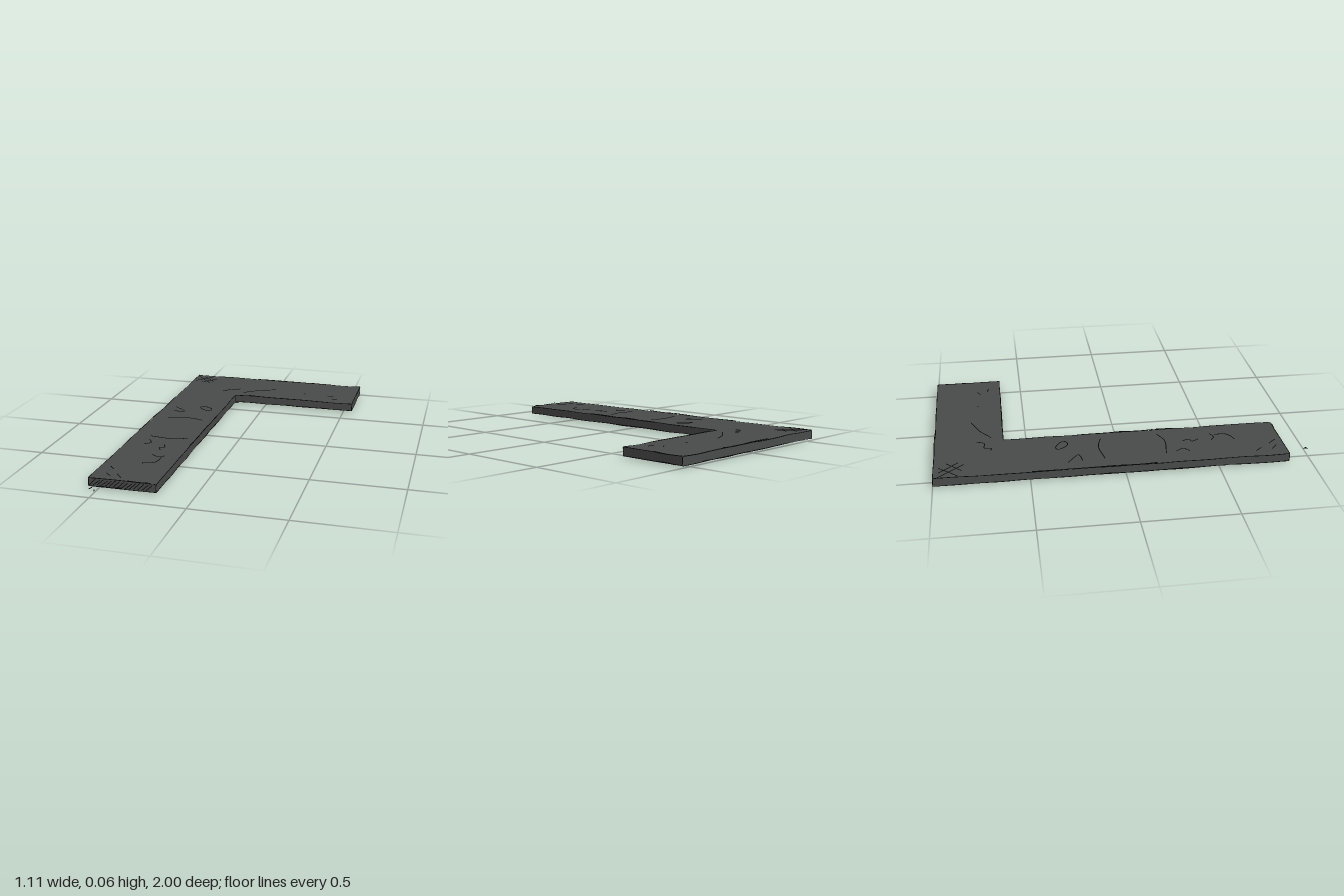
import * as THREE from 'three';
import { mergeGeometries } from 'three/addons/utils/BufferGeometryUtils.js';

const BOTTOM = 0.012, TOP = 0.055;
// Outline of the L in [x, z]
const OUTLINE = [[-0.553, -0.997], [0.552, -0.997], [0.552, -0.627], [-0.195, -0.627], [-0.195, 0.879], [-0.553, 0.879]];

// Small seeded generator for the hand-drawn wobble, in -1..1
function makeWobble(seed) {
  return () => {
    seed = (seed * 16807) % 2147483647;
    return (seed / 2147483647) * 2 - 1;
  };
}

// A thin pen stroke through a few points
function stroke(points, radius = 0.0024, closed = false) {
  const curve = new THREE.CatmullRomCurve3(points.map((p) => new THREE.Vector3(...p)), closed);
  return new THREE.TubeGeometry(curve, points.length * 4, radius, 4, closed);
}

// A nearly straight stroke with a slight wobble across its length
function roughLine(a, b, wobble, amount = 0.002) {
  const start = new THREE.Vector3(...a), end = new THREE.Vector3(...b);
  const n = Math.max(2, Math.ceil(start.distanceTo(end) / 0.12));
  const points = [];
  for (let i = 0; i <= n; i++) {
    const p = start.clone().lerp(end, i / n);
    points.push([p.x + wobble() * amount, p.y + wobble() * amount, p.z + wobble() * amount]);
  }
  return stroke(points, 0.0022);
}

export function createModel() {
  const group = new THREE.Group();
  const slabMaterial = new THREE.MeshStandardMaterial({ color: 0x4a4c4b });
  const inkMaterial = new THREE.MeshStandardMaterial({ color: 0x050505 });
  const wobble = makeWobble(41);

  const add = (name, geometry, material) => {
    const mesh = new THREE.Mesh(geometry, material);
    mesh.name = name;
    group.add(mesh);
  };

  // Flat L-shaped slab
  const shape = new THREE.Shape(OUTLINE.map(([x, z]) => new THREE.Vector2(x, -z)));
  const slab = new THREE.ExtrudeGeometry(shape, { depth: TOP - BOTTOM, bevelEnabled: false });
  slab.rotateX(-Math.PI / 2).translate(0, BOTTOM, 0);
  add('slab', slab, slabMaterial);

  // Sketched lines along every edge, with short overlapping second strokes
  const edges = [];
  OUTLINE.forEach(([x, z], i) => {
    const [nx, nz] = OUTLINE[(i + 1) % OUTLINE.length];
    for (const y of [BOTTOM, TOP]) {
      edges.push(roughLine([x, y, z], [nx, y, nz], wobble));
      const s = 0.3 + 0.25 * wobble(), e = s + 0.35;
      const at = (t) => [x + (nx - x) * t, y + 0.002, z + (nz - z) * t];
      edges.push(roughLine(at(s), at(e), wobble, 0.0025));
    }
    edges.push(roughLine([x, BOTTOM, z], [x, TOP, z], wobble, 0.001));
  });
  // Overshooting tail at the inner corner
  edges.push(stroke([[-0.17, 0.012, -0.627], [-0.195, 0.004, -0.622], [-0.215, 0.012, -0.61]]));
  add('edgeLines', mergeGeometries(edges), inkMaterial);

  // Doodles on the top face, each a list of [x, z]
  const topDoodles = [
    [[-0.55, -0.98], [-0.49, -0.91], [-0.43, -0.84]],
    [[-0.5, -0.97], [-0.41, -0.87]],
    [[-0.45, -0.97], [-0.54, -0.87]],
    [[-0.41, -0.93], [-0.49, -0.85]],
    [[-0.3, -0.7], [-0.28, -0.69], [-0.27, -0.73], [-0.22, -0.73], [-0.2, -0.77]],
    [[-0.16, -0.69], [-0.08, -0.75], [0.03, -0.8]],
    [[0.225, -0.765], [0.235, -0.755]],
    [[0.38, -0.74], [0.415, -0.76]],
    [[0.41, -0.7], [0.45, -0.695]],
    [[-0.485, -0.3], [-0.46, -0.28], [-0.41, -0.235], [-0.475, -0.22]],
    [[-0.47, -0.1], [-0.34, -0.12], [-0.255, -0.1]],
    [[-0.46, 0.23], [-0.32, 0.245], [-0.245, 0.215]],
    [[-0.445, 0.285], [-0.42, 0.33], [-0.45, 0.36]],
    [[-0.34, 0.34], [-0.325, 0.38], [-0.35, 0.39], [-0.33, 0.43]],
    [[-0.35, 0.5], [-0.315, 0.52], [-0.28, 0.505]],
    [[-0.29, 0.53], [-0.3, 0.6], [-0.36, 0.63]],
    [[-0.5, 0.71], [-0.47, 0.745]],
    [[-0.49, 0.8], [-0.45, 0.835]],
    [[-0.43, 0.8], [-0.39, 0.845]],
  ];
  const onPlane = (y) => (line) => stroke(line.map(([x, z]) => [x, y, z]));
  const loop = [[-0.34, -0.34], [-0.32, -0.35], [-0.265, -0.32], [-0.26, -0.29], [-0.3, -0.285]];
  add('topDoodles', mergeGeometries([
    ...topDoodles.map(onPlane(TOP)),
    stroke(loop.map(([x, z]) => [x, TOP, z]), 0.0024, true),
  ]), inkMaterial);

  // Doodles on the underside
  const bottomDoodles = [
    [[0.05, -0.65], [-0.07, -0.72], [-0.19, -0.77]],
    [[0.02, -0.71], [-0.1, -0.72], [-0.2, -0.71]],
    [[-0.32, 0.08], [-0.36, 0.0], [-0.33, -0.05], [-0.4, -0.11], [-0.43, -0.22]],
    [[-0.29, 0.42], [-0.31, 0.46]],
    [[-0.27, 0.46], [-0.3, 0.49]],
    [[-0.32, 0.7], [-0.36, 0.71], [-0.37, 0.74]],
    [[-0.3, 0.74], [-0.33, 0.77]],
  ];
  add('bottomDoodles', mergeGeometries(bottomDoodles.map(onPlane(BOTTOM))), inkMaterial);

  // Slanted hatching on the front end of the long arm
  const hatching = [];
  for (let i = 0; i < 15; i++) {
    const x = -0.55 + i * 0.0215;
    hatching.push(stroke([[x, 0.016 + 0.003 * wobble(), 0.879], [x + 0.036, 0.048 + 0.004 * wobble(), 0.879]], 0.0018));
  }
  add('endHatching', mergeGeometries(hatching), inkMaterial);

  // Two loose pen flecks in front of the long arm
  add('looseFlecks', mergeGeometries([
    stroke([[-0.492, 0.048, 0.978], [-0.5, 0.047, 0.999]]),
    stroke([[-0.48, 0.037, 0.978], [-0.47, 0.037, 0.999]]),
  ]), inkMaterial);

  return group;
}
